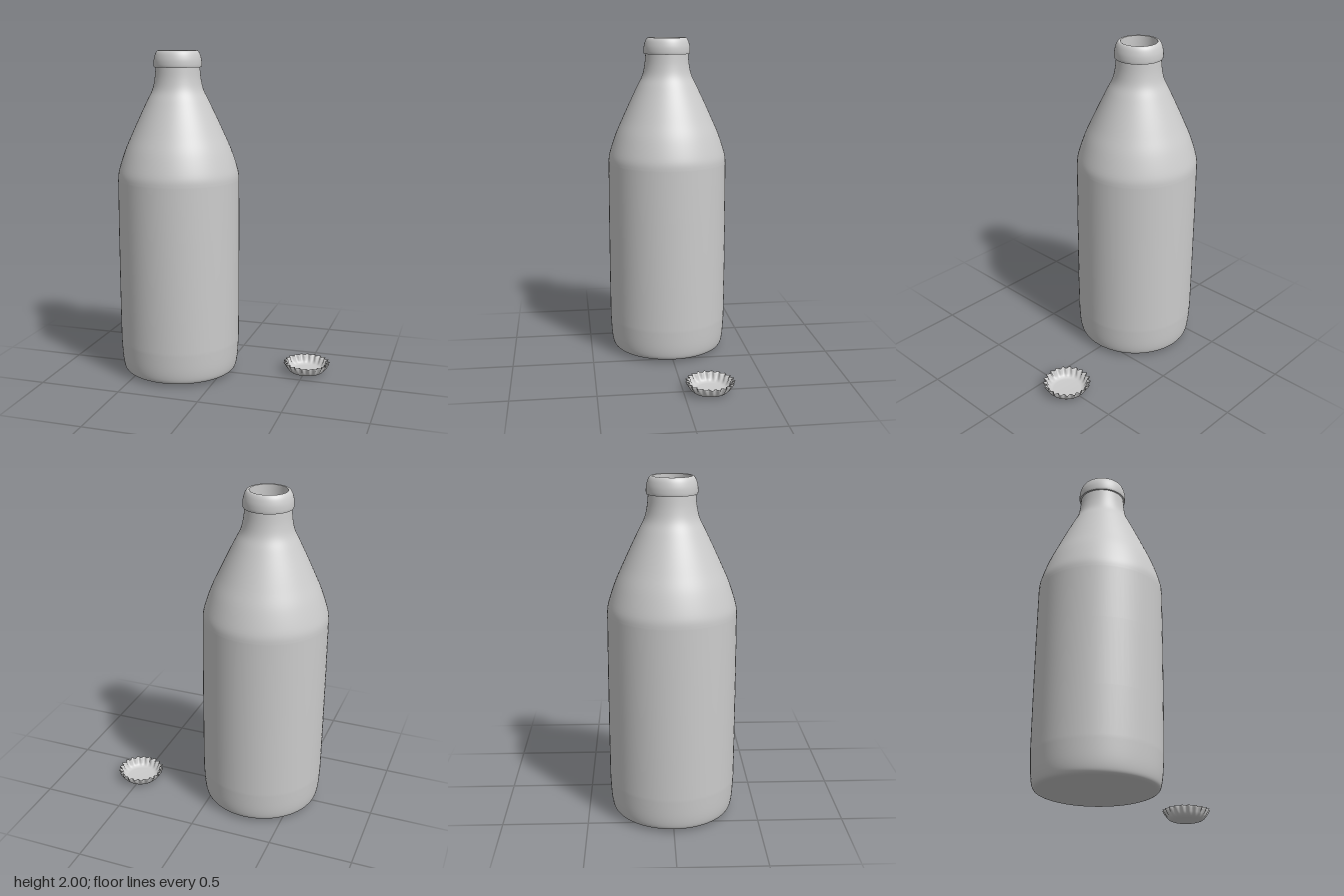
import * as THREE from 'three';

const material = new THREE.MeshStandardMaterial({ color: 0xcccccc, side: THREE.DoubleSide });
const points = (list) => list.map(([r, y]) => new THREE.Vector2(r, y));
const smooth = (list, n = 40) => new THREE.SplineCurve(points(list)).getPoints(n);

function addLathe(parent, name, profile) {
  const mesh = new THREE.Mesh(new THREE.LatheGeometry(profile, 72), material);
  mesh.name = name;
  parent.add(mesh);
}

function createBottle() {
  const bottle = new THREE.Group();
  bottle.name = 'bottle';
  const shoulder = [[0.371, 1.22], [0.364, 1.28], [0.325, 1.4], [0.281, 1.5], [0.235, 1.6],
    [0.187, 1.7], [0.155, 1.765], [0.14, 1.83], [0.133, 1.9]];
  // Flat base, rounded heel, straight body, sloping shoulder and neck
  addLathe(bottle, 'body', [
    ...points([[0, 0.014], [0.16, 0.014], [0.315, 0.014]]),
    ...smooth([[0.33, 0.015], [0.347, 0.024], [0.358, 0.05], [0.366, 0.11], [0.372, 0.22]], 16),
    ...points([[0.373, 0.5], [0.373, 0.9]]),
    ...smooth(shoulder),
  ]);
  // Rounded lip around the mouth
  addLathe(bottle, 'lipUnderside', points([[0.131, 1.9], [0.143, 1.9]]));
  addLathe(bottle, 'lip', smooth([[0.143, 1.9], [0.145, 1.915], [0.143, 1.945], [0.135, 1.975],
    [0.125, 1.993], [0.116, 1.999], [0.109, 1.997]], 24));
  // Inner wall, running from the mouth down to the inside floor
  addLathe(bottle, 'innerWall', [
    ...points([[0.109, 1.997], [0.109, 1.86]]),
    ...smooth(shoulder.slice(0, -1).reverse().map(([r, y]) => [r - 0.025, y - 0.01])),
    ...points([[0.348, 0.9], [0.348, 0.2], [0.335, 0.08], [0.31, 0.04], [0, 0.04]]),
  ]);
  bottle.position.x = -0.281;
  return bottle;
}

// Upturned crown cap: rings of [radius, height, flute depth]
function createCap() {
  const teeth = 21, perTooth = 8, segments = teeth * perTooth;
  const rings = [
    [0, 0, 0], [0.06, 0, 0], [0.088, 0.002, 0], [0.104, 0.008, 0], [0.115, 0.018, 0.001],
    [0.123, 0.032, 0.004], [0.131, 0.049, 0.007], [0.137, 0.064, 0.009],
    [0.133, 0.064, 0.009], [0.126, 0.049, 0.007], [0.118, 0.032, 0.004], [0.11, 0.02, 0.001],
    [0.1, 0.012, 0], [0.09, 0.011, 0], [0.084, 0.008, 0], [0, 0.008, 0],
  ];
  const position = [], index = [];
  rings.forEach(([r, y, depth], i) => {
    for (let j = 0; j <= segments; j++) {
      const angle = (j / segments) * Math.PI * 2;
      const radius = r + depth * Math.cos(angle * teeth);
      position.push(radius * Math.sin(angle), y, radius * Math.cos(angle));
      if (i > 0 && j < segments) {
        const a = (i - 1) * (segments + 1) + j, b = a + segments + 1;
        index.push(a, a + 1, b, b, a + 1, b + 1);
      }
    }
  });
  const geometry = new THREE.BufferGeometry();
  geometry.setAttribute('position', new THREE.Float32BufferAttribute(position, 3));
  geometry.setIndex(index);
  geometry.computeVertexNormals();
  const cap = new THREE.Mesh(geometry, material);
  cap.name = 'crownCap';
  cap.position.set(0.508, 0, -0.156);
  return cap;
}

export function createModel() {
  const model = new THREE.Group();
  model.name = 'bottleAndCap';
  model.add(createBottle(), createCap());
  return model;
}
